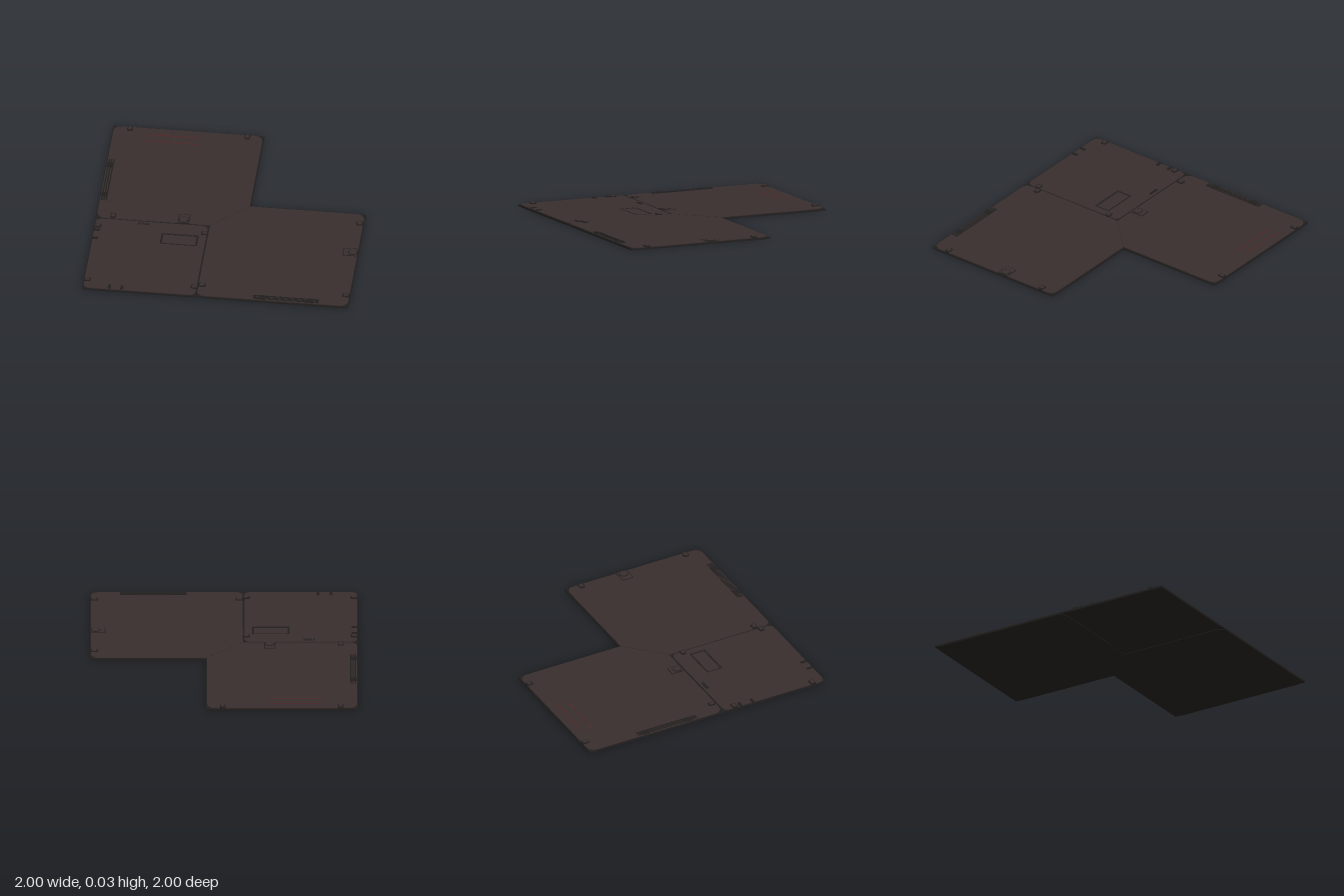
import * as THREE from 'three';

const mat = (name, color) => {
  const m = new THREE.MeshStandardMaterial({ color });
  m.name = name;
  return m;
};

export function createModel() {
  const model = new THREE.Group();
  model.name = 'tiledFloorPanel';
  const brown = mat('dark brown', 0x392e2e);
  const dark = mat('charcoal', 0x211f1e);
  const red = mat('deep red', 0x5c2222);

  const add = (name, geo, material) => {
    const mesh = new THREE.Mesh(geo, material);
    mesh.name = name;
    model.add(mesh);
    return mesh;
  };
  // Box from plan limits and heights
  const box = (name, x0, x1, z0, z1, y0, y1, m = dark) =>
    add(name, new THREE.BoxGeometry(x1 - x0, y1 - y0, z1 - z0), m)
      .position.set((x0 + x1) / 2, (y0 + y1) / 2, (z0 + z1) / 2);

  // Closed outline from [x, z, cornerRadius] points
  const outline = (pts, Type = THREE.Shape) => {
    const s = new Type();
    const v = pts.map(([x, z]) => new THREE.Vector2(x, -z));
    pts.forEach(([, , r = 0], i) => {
      const p = v[i], a = v[(i + v.length - 1) % v.length], b = v[(i + 1) % v.length];
      const p0 = a.clone().sub(p).setLength(r).add(p);
      const p1 = b.clone().sub(p).setLength(r).add(p);
      if (i) s.lineTo(p0.x, p0.y); else s.moveTo(p0.x, p0.y);
      if (r) s.quadraticCurveTo(p.x, p.y, p1.x, p1.y);
    });
    s.closePath();
    return s;
  };
  const rect = (x0, x1, z0, z1, r = 0) => [[x0, z0, r], [x1, z0, r], [x1, z1, r], [x0, z1, r]];
  const slab = (name, pts, y0, y1, m, holes = []) => {
    const s = outline(pts);
    s.holes = holes.map(h => outline(h, THREE.Path));
    const g = new THREE.ExtrudeGeometry(s, { depth: y1 - y0, bevelEnabled: false, curveSegments: 6 });
    add(name, g.rotateX(-Math.PI / 2).translate(0, y0, 0), m);
  };

  // Thin core sheet, showing in the seams and corners
  slab('coreSheet', [[-1, -1], [0.135, -1], [0.135, -0.14], [1, -0.14], [1, 1], [-1, 1]], 0.004, 0.015, dark);

  // Large L-shaped panel and small square panel, above and below the core
  const large = (e) => [
    [-1 + e, -1 + e, 0.07], [0.135 - e, -1 + e, 0.07], [0.135 - e, -0.14 + e], [1 - e, -0.14 + e, 0.07],
    [1 - e, 1 - e, 0.07], [-0.14, 1 - e, 0.06], [-0.14, 0.13], [-1 + e, 0.13, 0.07],
  ];
  const small = (e) => rect(-1 + e, -0.153, 0.145, 1 - e, 0.05);
  const labelHole = rect(-0.48, -0.215, 0.275, 0.39);
  slab('largePanel', large(0.008), 0.015, 0.02, brown);
  slab('smallPanel', small(0.008), 0.015, 0.02, brown, [labelHole]);
  slab('largeUnderside', large(0.002), 0, 0.004, dark, [rect(-0.385, -0.3, 0.03, 0.12)]);
  slab('smallUnderside', small(0.002), 0, 0.004, dark, [labelHole]);

  // Label window with a narrow frame
  slab('labelPlate', rect(-0.472, -0.223, 0.283, 0.382), 0.015, 0.0185, brown);
  slab('labelFrame', rect(-0.487, -0.208, 0.268, 0.397), 0.02, 0.0215, dark, [labelHole]);

  // Fine diagonal fold between the two large areas
  const fold = new THREE.BoxGeometry(0.385, 0.0006, 0.002);
  add('foldLine', fold.rotateY(Math.PI / 4), dark).position.set(-0.003, 0.0203, -0.005);

  // Red stripes near the back edge
  for (const z of [-0.915, -0.835]) {
    box('redStripe', -0.73, -0.34, z - 0.003, z + 0.003, 0.02, 0.0215, red);
  }

  // Edge clips: x, z and direction of the long side
  const clips = [
    [-0.87, -0.97, 'z'], [0.01, -0.97, 'z'], [-0.87, 0.1, 'z'],
    [0.967, -0.015, 'x'], [0.967, 0.865, 'x'], [-0.113, 0.865, 'x'],
    [-0.167, 0.235, 'x'], [-0.167, 0.895, 'x'], [-0.972, 0.235, 'x'], [-0.972, 0.895, 'x'],
  ];
  for (const [x, z, dir] of clips) {
    const a = dir === 'x' ? 0.028 : 0.021, b = dir === 'x' ? 0.021 : 0.028;
    slab('clip', rect(x - a, x + a, z - b, z + b, 0.012), 0.015, 0.026, dark);
    slab('clipCap', rect(x - a * 0.6, x + a * 0.6, z - b * 0.6, z + b * 0.6), 0.026, 0.03, brown);
  }

  // Small edge lugs
  for (const z of [0.285, 0.387]) box('sideLug', -0.995, -0.95, z - 0.011, z + 0.011, 0.015, 0.025);
  for (const x of [-0.797, -0.703]) box('frontLug', x - 0.011, x + 0.011, 0.945, 0.99, 0.015, 0.025);

  // Latch tabs with a round button
  const latch = (x0, x1, z0, z1, cx, cz) => {
    slab('latchTab', rect(x0, x1, z0, z1, 0.008), 0.018, 0.022, dark);
    slab('latchTop', rect(x0 + 0.007, x1 - 0.007, z0 + 0.007, z1 - 0.007), 0.022, 0.024, brown);
    add('latchRing', new THREE.CylinderGeometry(0.036, 0.036, 0.004, 24), dark).position.set(cx, 0.025, cz);
    add('latchButton', new THREE.CylinderGeometry(0.03, 0.03, 0.004, 24), brown).position.set(cx, 0.027, cz);
  };
  latch(-0.385, -0.298, 0.025, 0.135, -0.341, 0.093);
  latch(0.882, 0.997, 0.29, 0.382, 0.957, 0.336);

  // Slotted rails on the left and front edges
  for (const o of [0.945, 0.962, 0.979]) {
    box('leftRail', -o - 0.005, -o + 0.005, -0.58, -0.08, 0.018, 0.023);
    box('frontRail', 0.28, 0.775, o - 0.005, o + 0.005, 0.018, 0.023);
  }
  for (const z of [-0.51, -0.15]) box('leftRailBlock', -0.99, -0.945, z - 0.025, z + 0.025, 0.018, 0.025);
  for (const x of [0.35, 0.705]) box('frontRailBlock', x - 0.025, x + 0.025, 0.94, 0.99, 0.018, 0.025);

  // Small finger grip on the square panel
  for (let i = 0; i < 5; i++) {
    const x = -0.675 + i * 0.018;
    box('gripRib', x, x + 0.012, 0.163, 0.183, 0.02, 0.024);
  }
  return model;
}
